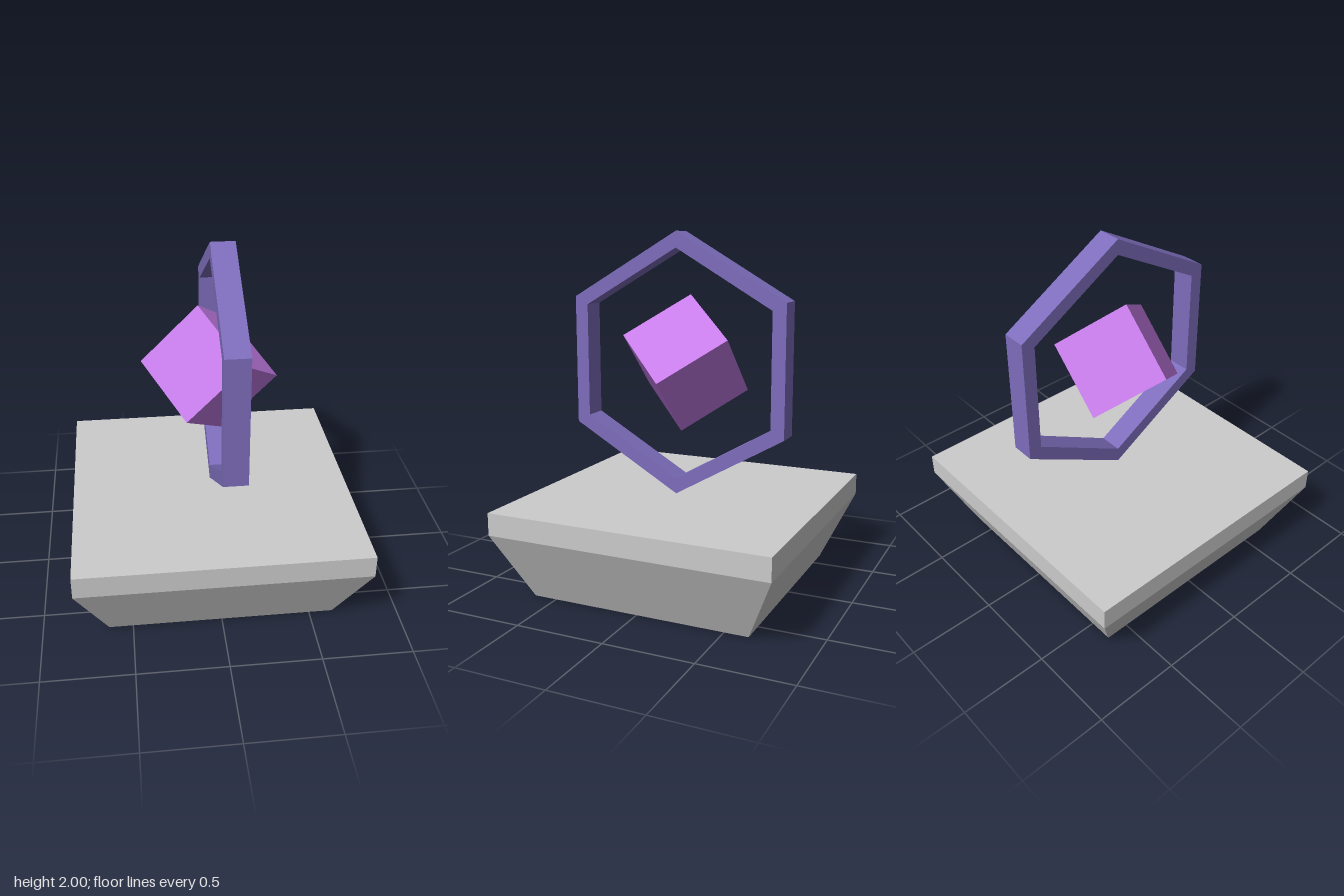
import * as THREE from 'three';

const material = (color) => new THREE.MeshStandardMaterial({ color, flatShading: true });

// Outline of a regular hexagon with one corner pointing up
function hexagon(radius) {
  return Array.from({ length: 6 }, (_, i) => {
    const a = Math.PI / 2 + (i * Math.PI) / 3;
    return new THREE.Vector2(radius * Math.cos(a), radius * Math.sin(a));
  });
}

export function createModel() {
  const group = new THREE.Group();
  const centreY = 1.268;

  function add(name, geometry, color) {
    const mesh = new THREE.Mesh(geometry, material(color));
    mesh.name = name;
    group.add(mesh);
    return mesh;
  }

  // Square pedestal: tapered foot below a straight-sided slab
  const profile = [[0, 0], [0.634, 0], [0.807, 0.38], [0.807, 0.507], [0, 0.507]]
    .map(([half, y]) => new THREE.Vector2(half * Math.SQRT2, y));
  add('pedestal', new THREE.LatheGeometry(profile, 4, Math.PI / 4), 0xcccccc);

  // Floating hexagonal frame, standing in the yz plane
  const outline = new THREE.Shape(hexagon(0.732));
  outline.holes.push(new THREE.Path(hexagon(0.643)));
  const frame = add('hexagonFrame',
    new THREE.ExtrudeGeometry(outline, { depth: 0.135, bevelEnabled: false }), 0x7d6dbb);
  frame.rotation.y = Math.PI / 2;
  frame.position.y = centreY;

  // Tilted cube floating in the frame
  const cube = add('floatingCube', new THREE.BoxGeometry(0.447, 0.447, 0.447), 0xc77dea);
  cube.rotation.set(Math.PI / 4, 0, Math.PI / 4, 'ZXY');
  cube.position.y = centreY;

  return group;
}
